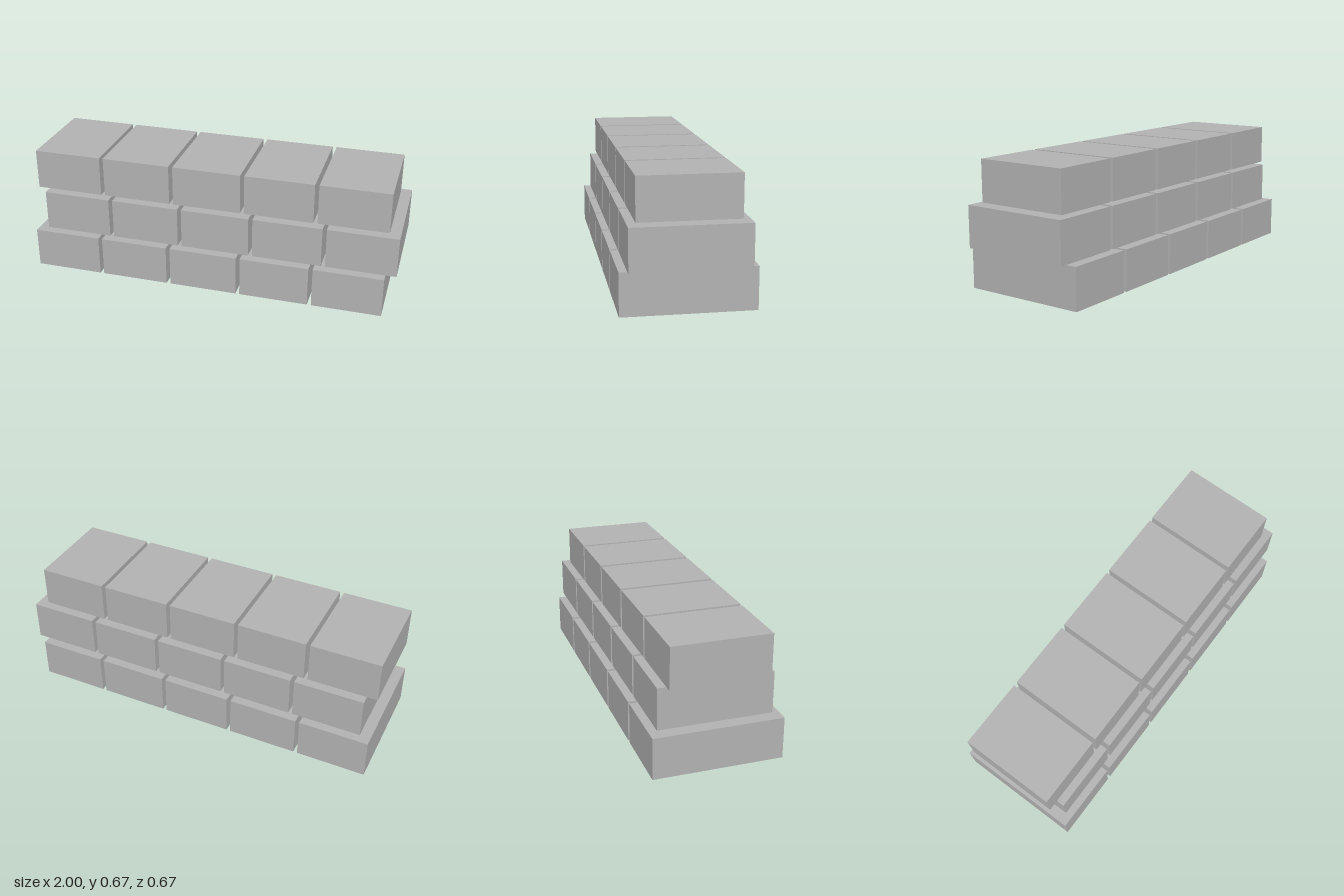
import * as THREE from 'three';

export function createModel() {
  const model = new THREE.Group();
  model.name = 'stackedBlockWall';
  const stone = new THREE.MeshStandardMaterial({ color: 0xb2b2b2 });
  stone.name = 'grey stone';

  const blocksPerRow = 5;
  const width = 0.371, height = 0.218;
  const pitchX = 0.393, pitchY = 0.225;

  // Courses from bottom to top: each is shallower, the middle one is shifted sideways
  const courses = [
    { name: 'bottomCourse', startX: -1, depth: 0.667, z: 0 },
    { name: 'middleCourse', startX: -0.943, depth: 0.588, z: 0.001 },
    { name: 'topCourse', startX: -1, depth: 0.506, z: 0.001 },
  ];

  courses.forEach(({ name, startX, depth, z }, row) => {
    const course = new THREE.Group();
    course.name = name;
    const geometry = new THREE.BoxGeometry(width, height, depth);
    for (let i = 0; i < blocksPerRow; i++) {
      const block = new THREE.Mesh(geometry, stone);
      block.name = `block${i + 1}`;
      block.position.set(startX + width / 2 + i * pitchX, height / 2 + row * pitchY, z);
      course.add(block);
    }
    model.add(course);
  });

  return model;
}
